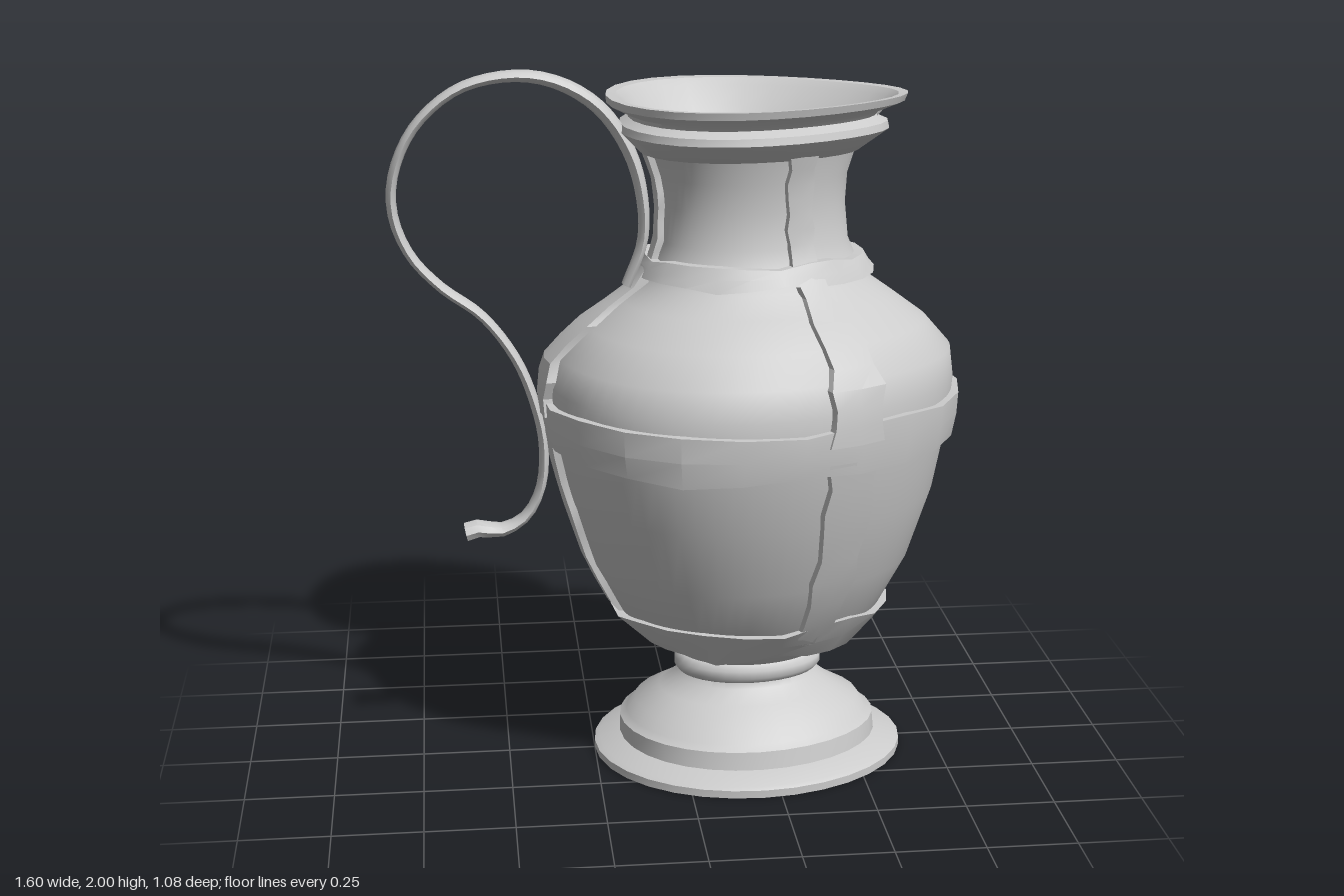
import * as THREE from 'three';
import { toCreasedNormals } from 'three/addons/utils/BufferGeometryUtils.js';

const material = new THREE.MeshStandardMaterial({ color: 0xcccccc });

// Skin a list of closed rings of [x, y, z] points
function skin(rings, crease) {
  const n = rings[0].length, index = [];
  for (let i = 0; i < rings.length - 1; i++) {
    for (let j = 0; j < n; j++) {
      const a = i * n + j, b = i * n + (j + 1) % n;
      index.push(a, a + n, b, b, a + n, b + n);
    }
  }
  const geo = new THREE.BufferGeometry();
  geo.setAttribute('position', new THREE.Float32BufferAttribute(rings.flat(2), 3));
  geo.setIndex(index);
  return toCreasedNormals(geo, crease);
}

// Sections are [y, xMin, xMax, zHalf, taper]; taper narrows the spout side (+x)
function point([y, x0, x1, b, k], t, off = 0) {
  const c = Math.cos(t), s = Math.sin(t);
  return [(x0 + x1) / 2 + ((x1 - x0) / 2 + off) * c, y, (b + off) * s * (1 - k * c)];
}

// wave gives the hand-cut, uneven edge height of the bands
function ring(row, n, wave = 0, phase = 0) {
  return Array.from({ length: n }, (_, j) => {
    const t = j / n * Math.PI * 2, p = point(row, t);
    p[1] += wave * (Math.sin(5 * t + phase) + 0.6 * Math.sin(8 * t + 2 * phase));
    return p;
  });
}

const FOOT = [
  [0, 0.2, 0.2, 0, 0], [0, -0.25, 0.65, 0.39, 0.04], [0.022, -0.25, 0.65, 0.39, 0.04],
  [0.03, -0.235, 0.635, 0.38, 0.04], [0.05, -0.175, 0.575, 0.315, 0.06],
  [0.1, -0.175, 0.57, 0.305, 0.06], [0.115, -0.155, 0.55, 0.285, 0.06],
  [0.15, -0.13, 0.525, 0.255, 0.06], [0.19, -0.06, 0.455, 0.19, 0.06],
  [0.225, -0.015, 0.41, 0.145, 0.06], [0.245, 0, 0.395, 0.135, 0.06], [0.3, 0, 0.395, 0.135, 0.06],
];
const KNOP = [
  [0.24, 0.02, 0.38, 0.12, 0.06], [0.242, -0.003, 0.4, 0.14, 0.06], [0.258, -0.015, 0.414, 0.152, 0.06],
  [0.28, -0.015, 0.414, 0.152, 0.06], [0.297, -0.003, 0.4, 0.142, 0.06], [0.305, 0.02, 0.38, 0.12, 0.06],
];
const BODY = [
  [0.3, 0, 0.4, 0.145, 0.06], [0.35, -0.08, 0.5, 0.22, 0.08], [0.45, -0.175, 0.58, 0.305, 0.1],
  [0.6, -0.255, 0.66, 0.385, 0.12], [0.8, -0.32, 0.725, 0.455, 0.14], [0.96, -0.36, 0.755, 0.5, 0.15],
  [1.05, -0.372, 0.768, 0.512, 0.15], [1.13, -0.375, 0.775, 0.51, 0.15], [1.21, -0.35, 0.765, 0.485, 0.15],
  [1.29, -0.265, 0.695, 0.41, 0.15], [1.36, -0.17, 0.6, 0.325, 0.15], [1.41, -0.1, 0.53, 0.24, 0.14],
  [1.46, -0.075, 0.495, 0.21, 0.13], [1.52, -0.055, 0.47, 0.185, 0.13], [1.62, -0.05, 0.46, 0.18, 0.14],
  [1.7, -0.06, 0.465, 0.185, 0.16], [1.78, -0.09, 0.49, 0.205, 0.2],
];
// Flared lip, over the rim and down into the mouth
const LIP = [
  [1.76, -0.06, 0.465, 0.18, 0.18], [1.765, -0.11, 0.495, 0.215, 0.2], [1.825, -0.17, 0.58, 0.305, 0.27],
  [1.845, -0.165, 0.575, 0.3, 0.28], [1.86, -0.14, 0.54, 0.265, 0.28], [1.872, -0.145, 0.55, 0.275, 0.28],
  [1.9, -0.2, 0.622, 0.333, 0.3], [1.92, -0.202, 0.63, 0.338, 0.3], [1.918, -0.175, 0.605, 0.31, 0.3],
  [1.9, -0.155, 0.585, 0.29, 0.3], [1.85, -0.125, 0.54, 0.25, 0.28], [1.78, -0.07, 0.475, 0.195, 0.22],
  [1.68, -0.035, 0.44, 0.16, 0.16], [1.58, -0.01, 0.41, 0.14, 0.13], [1.53, 0.06, 0.33, 0.09, 0.1],
  [1.515, 0.2, 0.2, 0, 0],
];

// Body section at height y
function bodyAt(y) {
  let i = 0;
  while (i < BODY.length - 2 && BODY[i + 1][0] < y) i++;
  const f = (y - BODY[i][0]) / (BODY[i + 1][0] - BODY[i][0]);
  return BODY[i].map((v, k) => THREE.MathUtils.lerp(v, BODY[i + 1][k], f));
}

const grow = ([y, x0, x1, b, k], d) => [y, x0 - d, x1 + d, b + d, k];

// Raised band around the body between two heights
function band(y0, y1, off, wave) {
  const n = 22, lo = bodyAt(y0), hi = bodyAt(y1);
  return skin([
    ring(grow(lo, -0.02), n, wave, 1), ring(grow(lo, off), n, wave, 1),
    ring(grow(bodyAt((y0 + y1) / 2), off + 0.003), n),
    ring(grow(hi, off), n, wave, 3), ring(grow(hi, -0.02), n, wave, 3),
  ], 0.35);
}

// Raised strap running up the body at angle t
function strap(t, half, y0, y1, off) {
  const rings = [], steps = 8;
  for (let i = 0; i <= steps; i++) {
    const row = bodyAt(THREE.MathUtils.lerp(y0, y1, i / steps));
    const w = half * (1 + 0.13 * Math.sin(i * 2.3 + t));
    rings.push([[-w, -0.02], [-w * 0.92, off], [0, off + 0.004], [w * 0.92, off], [w, -0.02]]
      .map(([d, o]) => point(row, t + d, o)));
  }
  return skin(rings, 0.4);
}

// Looped ribbon handle: hugs the neck, arches out, then curls away at the belly
function handle() {
  const path = new THREE.CatmullRomCurve3([
    [-0.15, 1.4], [-0.105, 1.52], [-0.105, 1.64], [-0.14, 1.77], [-0.22, 1.89], [-0.33, 1.96], [-0.45, 1.982],
    [-0.6, 1.95], [-0.72, 1.85], [-0.78, 1.72], [-0.783, 1.61], [-0.74, 1.5], [-0.66, 1.41], [-0.55, 1.325],
    [-0.46, 1.2], [-0.41, 1.07], [-0.387, 0.95], [-0.398, 0.82], [-0.445, 0.735], [-0.52, 0.7], [-0.565, 0.71], [-0.61, 0.7],
  ].map(([x, y]) => new THREE.Vector3(x, y, 0.03 - 0.05 * (x + 0.2))));
  const rings = [], steps = 72;
  for (let i = 0; i <= steps; i++) {
    const u = i / steps, p = path.getPointAt(u), d = path.getTangentAt(u);
    const end = i === 0 || i === steps;
    const tip = THREE.MathUtils.smoothstep(u, 0.93, 1);
    const thick = 0.014 + 0.006 * Math.exp(-(((u - 0.2) / 0.12) ** 2)) + 0.013 * tip;
    const wide = 0.036;
    const section = Array.from({ length: 8 }, (_, j) => {
      const a = j / 8 * Math.PI * 2, c = Math.cos(a) * thick, s = Math.sin(a) * wide;
      return [p.x + d.y * c, p.y - d.x * c, p.z + s];
    });
    const cap = section.map(() => [p.x, p.y, p.z]);
    if (i === 0) rings.push(cap);
    rings.push(section);
    if (end && i > 0) rings.push(cap);
  }
  return skin(rings, 0.7);
}

export function createModel() {
  const group = new THREE.Group();
  const add = (name, geo) => {
    const mesh = new THREE.Mesh(geo, material);
    mesh.name = name;
    group.add(mesh);
  };
  const lathe = (rows, n, crease) => skin(rows.map(r => ring(r, n)), crease);

  add('foot', lathe(FOOT, 32, 0.5));
  add('stemKnop', lathe(KNOP, 32, 0.9));
  add('body', lathe(BODY, 64, 0.9));
  add('lip', lathe(LIP, 28, 0.6));

  // Horizontal bands
  add('lowerBand', band(0.35, 0.46, 0.022, 0.009));
  add('bellyBand', band(0.965, 1.095, 0.024, 0.007));
  add('neckCollar', band(1.425, 1.48, 0.028, 0.006));

  // Three vertical straps: front, back and under the handle
  for (const [side, deg] of [['front', 67], ['back', -71], ['handle', 176]]) {
    const t = THREE.MathUtils.degToRad(deg);
    add(side + 'BellyStrap', strap(t, 0.14, 0.4, 1.0, 0.02));
    add(side + 'ShoulderStrap', strap(t, 0.14, 1.05, 1.45, 0.026));
    add(side + 'NeckStrap', strap(t, 0.15, 1.45, 1.78, 0.018));
  }

  add('handle', handle());
  return group;
}
